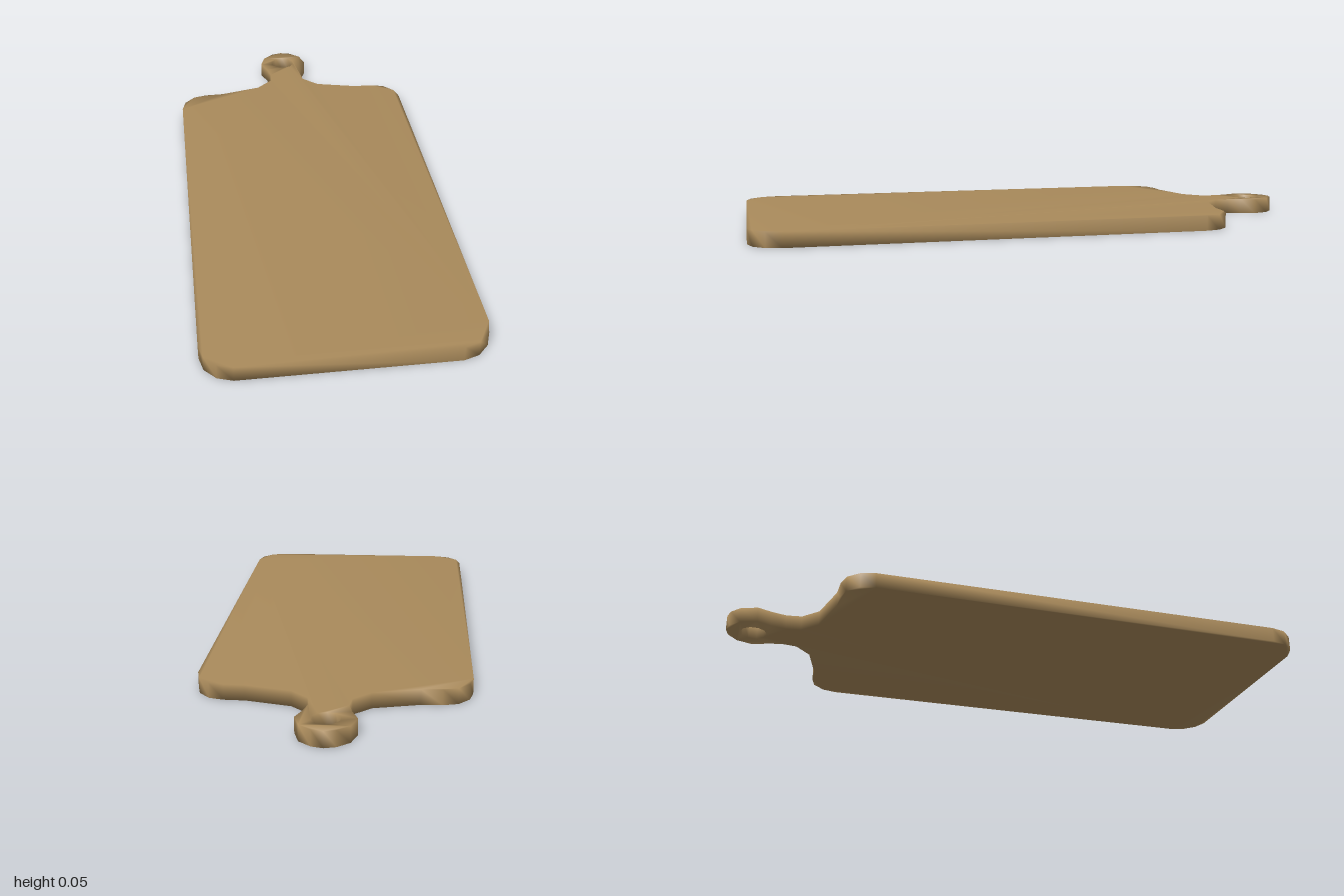
import * as THREE from 'three';
import { mergeVertices } from 'three/addons/utils/BufferGeometryUtils.js';

const THICKNESS = 0.053;

// Right half of the outline (x, z), from the front edge to the tip of the handle
const HALF = [
  [0.35, 1], [0.4, 0.983], [0.437, 0.943], [0.45, 0.89],
  [0.45, -0.55], [0.437, -0.6], [0.4, -0.64], [0.35, -0.653], [0.28, -0.655],
  [0.127, -0.693], [0.07, -0.747], [0.063, -0.8], [0.075, -0.85],
  [0.095, -0.9], [0.077, -0.957], [0.038, -0.99],
];

export function createModel() {
  const group = new THREE.Group();
  group.name = 'cuttingBoard';

  // Mirrored outline, drawn with shape y = -z
  const right = HALF.map(([x, z]) => new THREE.Vector2(x, -z));
  const left = HALF.map(([x, z]) => new THREE.Vector2(-x, -z)).reverse();
  const outline = new THREE.Shape([...right, new THREE.Vector2(0, 1), ...left]);

  // Hanging hole in the handle ring
  const hole = [];
  for (let i = 0; i < 10; i++) {
    const a = (-i / 10) * Math.PI * 2 + Math.PI / 2;
    hole.push(new THREE.Vector2(0.046 * Math.cos(a), 0.905 + 0.046 * Math.sin(a)));
  }
  outline.holes.push(new THREE.Path(hole));

  // Slab laid flat, with shared vertices for smooth shading over the edges
  let geometry = new THREE.ExtrudeGeometry(outline, { depth: THICKNESS, bevelEnabled: false });
  geometry.rotateX(-Math.PI / 2);
  geometry.deleteAttribute('uv');
  geometry.deleteAttribute('normal');
  geometry = mergeVertices(geometry, 1e-4);
  geometry.computeVertexNormals();

  const board = new THREE.Mesh(geometry, new THREE.MeshStandardMaterial({ color: 0xa98a5b }));
  board.name = 'boardWithHandle';
  group.add(board);
  return group;
}
